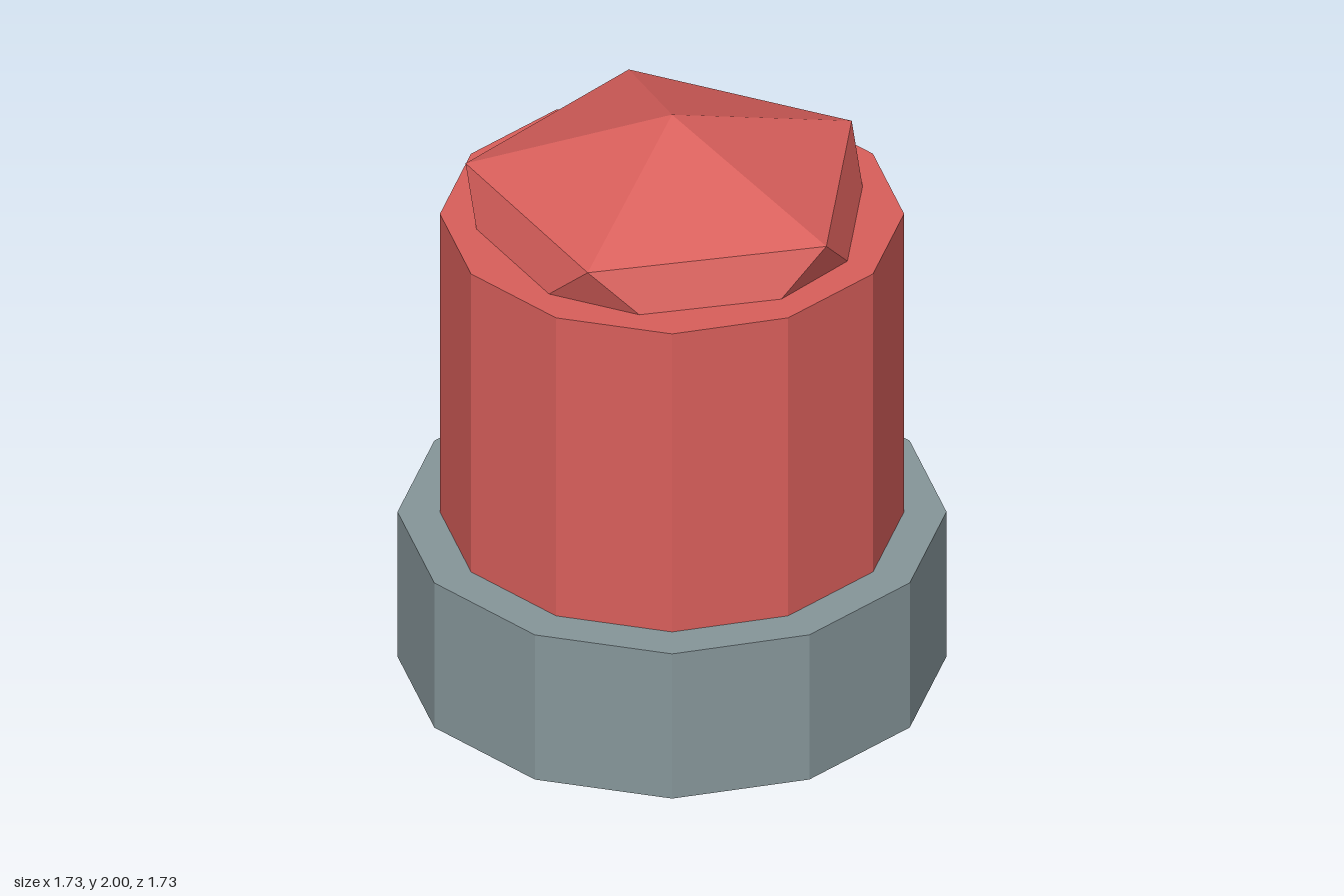
import * as THREE from 'three';

const grey = new THREE.MeshStandardMaterial({ color: 0x86969a });
grey.name = 'grey';
const red = new THREE.MeshStandardMaterial({ color: 0xd95f5b });
red.name = 'red';
for (const m of [grey, red]) m.flatShading = true;

// Twelve-sided drum standing between two heights
function drum(name, radius, bottom, top, material) {
  const geo = new THREE.CylinderGeometry(radius, radius, top - bottom, 12);
  const mesh = new THREE.Mesh(geo, material);
  mesh.name = name;
  mesh.position.y = (bottom + top) / 2;
  return mesh;
}

export function createModel() {
  const model = new THREE.Group();
  model.name = 'beacon';

  model.add(drum('base', 0.867, 0, 0.534, grey));
  model.add(drum('body', 0.733, 0.534, 1.634, red));

  // Cap: a squashed icosahedron standing on a vertex, half sunk into the body
  const geo = new THREE.IcosahedronGeometry(1, 0);
  geo.rotateZ(Math.atan(2 / (1 + Math.sqrt(5)))); // bring a vertex to the top
  geo.rotateY(Math.PI); // point an upper corner towards +x
  geo.scale(0.733, 0.4, 0.733);
  const cap = new THREE.Mesh(geo, red);
  cap.name = 'cap';
  cap.position.y = 1.6;
  model.add(cap);

  return model;
}
